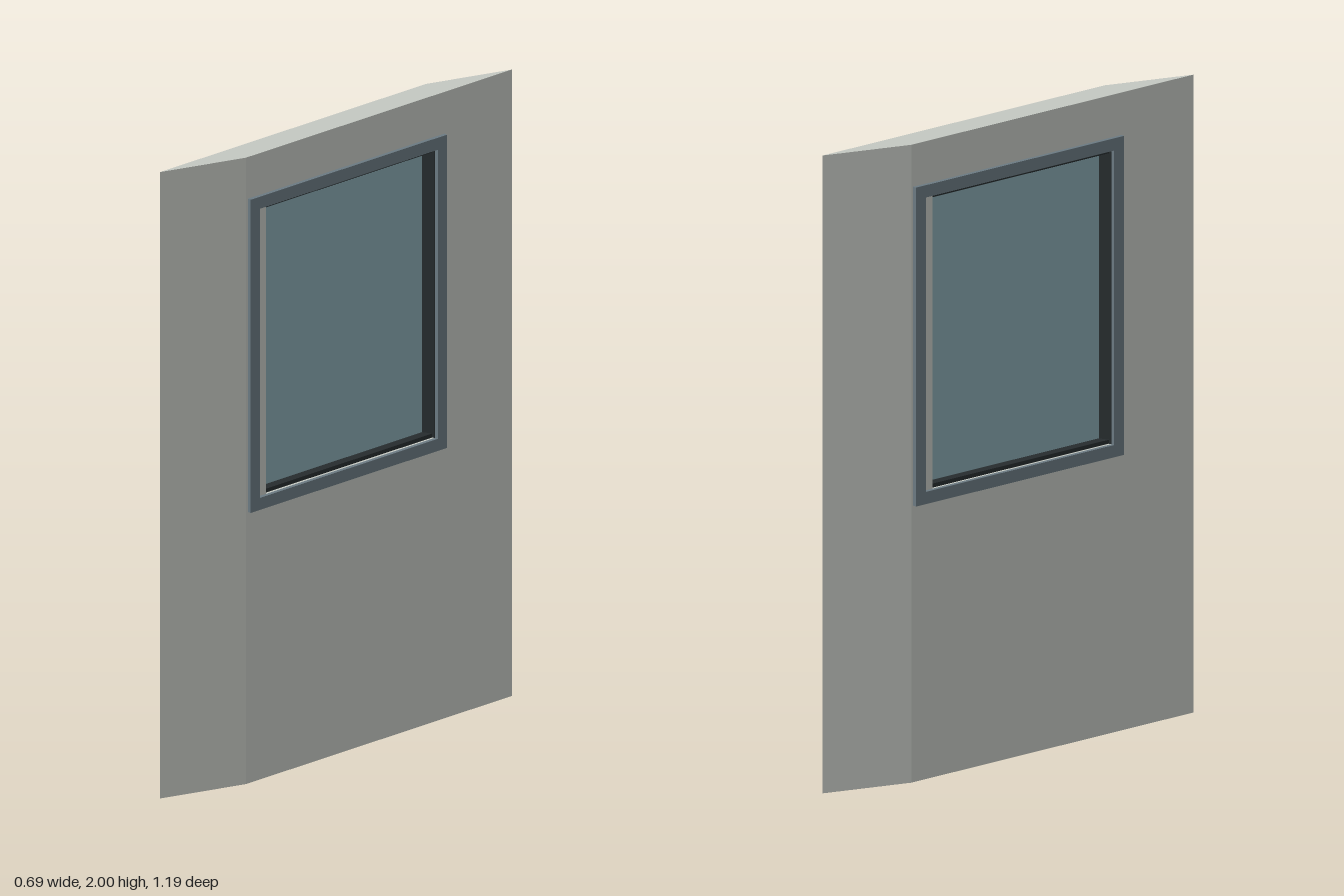
import * as THREE from 'three';

const mat = (color) => new THREE.MeshStandardMaterial({ color, flatShading: true });

// Vertical prism from a plan outline of [along wall, through wall] points
function prism(points, y0, y1) {
  const shape = new THREE.Shape(points.map(([a, o]) => new THREE.Vector2(a, -o)));
  const geo = new THREE.ExtrudeGeometry(shape, { depth: y1 - y0, bevelEnabled: false });
  return geo.rotateX(-Math.PI / 2).translate(0, y0, 0);
}

function rectangle(Type, w, h) {
  const path = new Type();
  path.moveTo(-w, -h);
  path.lineTo(w, -h);
  path.lineTo(w, h);
  path.lineTo(-w, h);
  path.closePath();
  return path;
}

export function createModel() {
  const model = new THREE.Group();
  model.name = 'wallPanelWithWindow';
  // Local x runs along the wall, local z through it
  const wall = new THREE.Group();
  wall.name = 'wallPanel';
  wall.rotation.y = Math.atan2(0.985, 0.49);
  model.add(wall);

  const concrete = mat(0xc4c8c2);
  const steel = mat(0x6b7a82);
  const glass = mat(0x88a8b0);
  const rubber = mat(0x262c2e);

  const add = (name, geo, material, parent = wall) => {
    const mesh = new THREE.Mesh(geo, material);
    mesh.name = name;
    parent.add(mesh);
    return mesh;
  };

  const T = 0.0438;                   // half wall thickness
  const midY = 1.367, holeH = 0.4615; // window centre and half height
  const y0 = midY - holeH, y1 = midY + holeH;

  // Skewed slab below and above the window
  const plan = [[-0.686, -T], [-0.4137, T], [0.686, T], [0.4137, -T]];
  add('lowerWall', prism(plan, 0, y0), concrete);
  add('upperWall', prism(plan, y1, 2), concrete);

  // Each half turn gives one pier, its lining and one face frame
  for (const side of ['front', 'back']) {
    const half = new THREE.Group();
    half.name = side + 'Half';
    half.rotation.y = side === 'front' ? 0 : Math.PI;
    wall.add(half);

    const pier = [[-0.686, -T], [-0.4137, T], [-0.331, T], [-0.37, -T]];
    add('pier', prism(pier, y0, y1), concrete, half);

    const lining = [[-0.37, -0.043], [-0.333, 0.041], [-0.329, 0.041], [-0.366, -0.043]];
    add('revealLining', prism(lining, y0, y1), rubber, half);

    const ring = rectangle(THREE.Shape, 0.406, 0.5);
    ring.holes.push(rectangle(THREE.Path, 0.367, 0.4615));
    const frame = new THREE.ExtrudeGeometry(ring, { depth: 0.0125, bevelEnabled: false });
    add('windowFrame', frame.translate(0, midY, T), steel, half);
  }

  // Dark head and sill strips inside the opening
  const strip = [[-0.364, -0.036], [-0.333, 0.036], [0.364, 0.036], [0.333, -0.036]];
  add('sillStrip', prism(strip, y0, y0 + 0.0125), rubber);
  add('headStrip', prism(strip, y1 - 0.0125, y1), rubber);

  // Pane
  add('glassPane', new THREE.BoxGeometry(0.7, 2 * holeH - 0.02, 0.012).translate(0, midY, 0), glass);

  return model;
}
